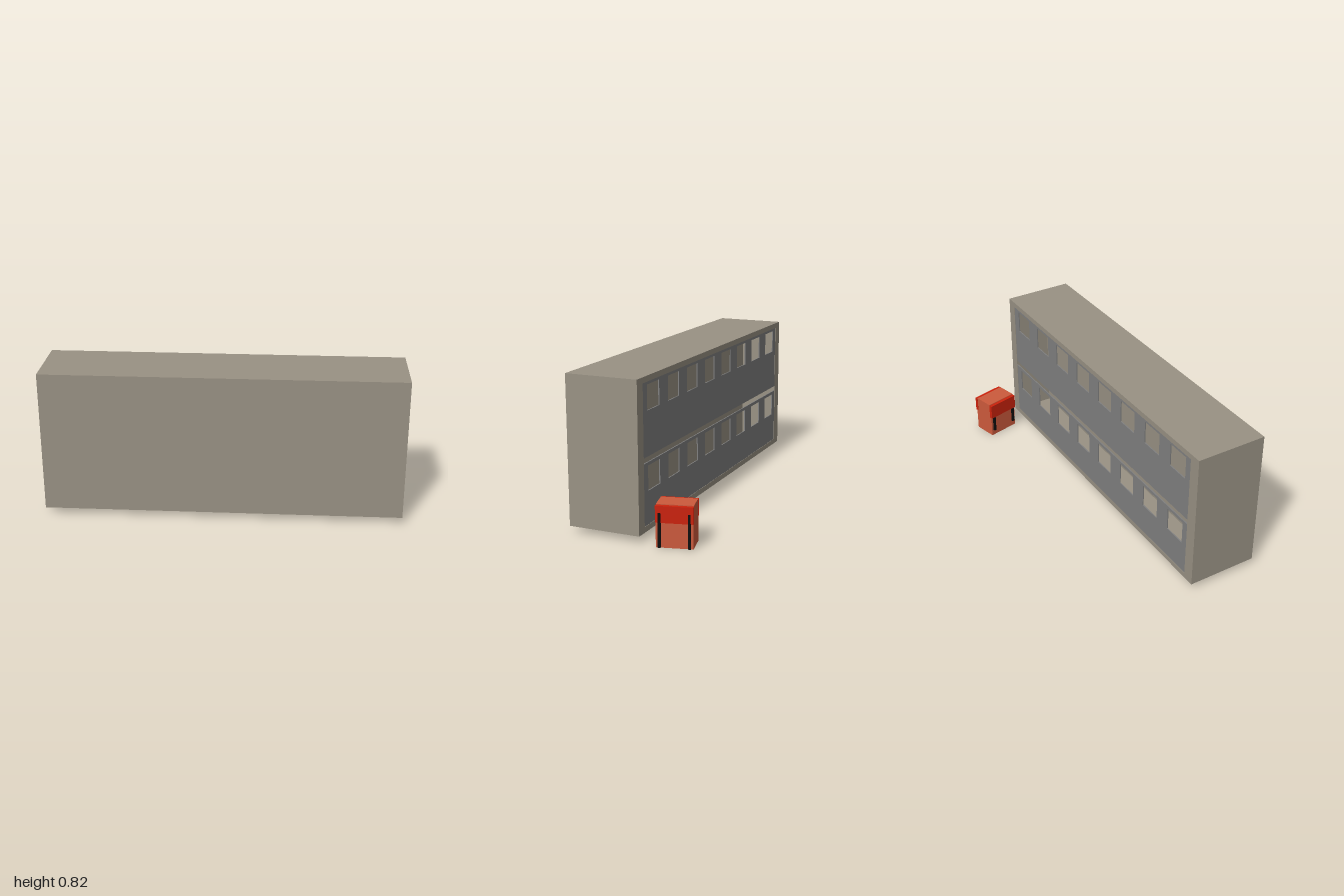
import * as THREE from 'three';

const mat = (color, side = THREE.FrontSide) => new THREE.MeshStandardMaterial({ color, side });

function rectPath(Type, x0, y0, x1, y1) {
  const p = new Type();
  p.moveTo(x0, y0);
  p.lineTo(x1, y0);
  p.lineTo(x1, y1);
  p.lineTo(x0, y1);
  p.closePath();
  return p;
}

function add(group, name, geometry, material) {
  const mesh = new THREE.Mesh(geometry, material);
  mesh.name = name;
  group.add(mesh);
  return mesh;
}

// Box given by its lower and upper corners
function block(group, name, a, b, material) {
  const geo = new THREE.BoxGeometry(b[0] - a[0], b[1] - a[1], b[2] - a[2]);
  add(group, name, geo, material).position.set((a[0] + b[0]) / 2, (a[1] + b[1]) / 2, (a[2] + b[2]) / 2);
}

function extrude(shape, z0, depth) {
  return new THREE.ExtrudeGeometry(shape, { depth, bevelEnabled: false }).translate(0, 0, z0);
}

// Long block, hollow behind its window wall at the back
function createBuilding() {
  const g = new THREE.Group();
  g.name = 'building';
  const stone = mat(0x999284);
  const wall = mat(0x808080, THREE.DoubleSide);

  block(g, 'frontBlock', [-1, 0.035, 0.165], [0.975, 0.825, 0.34], stone);

  const ring = rectPath(THREE.Shape, -1, 0.035, 0.975, 0.825);
  ring.holes.push(rectPath(THREE.Path, -0.934, 0.065, 0.914, 0.795));
  add(g, 'outerFrame', extrude(ring, -0.055, 0.22), stone);

  // Two window walls with a narrow gap between the storeys
  const storeys = [
    { name: 'lowerWindowWall', y0: 0.065, y1: 0.388, sill: 0.24 },
    { name: 'upperWindowWall', y0: 0.417, y1: 0.795, sill: 0.65 },
  ];
  for (const s of storeys) {
    const panel = rectPath(THREE.Shape, -0.934, s.y0, 0.914, s.y1);
    for (let i = 0; i < 8; i++) {
      const x = -0.826 + i * 0.232;
      panel.holes.push(rectPath(THREE.Path, x - 0.067, s.sill, x + 0.067, s.sill + 0.13));
    }
    add(g, s.name, extrude(panel, -0.053, 0.006), wall);
  }
  return g;
}

// Small container with side flaps and dark straps
function createContainer() {
  const g = new THREE.Group();
  g.name = 'container';
  const orange = mat(0xcc5a3c);
  const red = mat(0xcc220c);
  const black = mat(0x0c0c0c);

  block(g, 'containerBody', [-0.068, 0, -0.094], [0.068, 0.13, 0.094], orange);
  block(g, 'containerTop', [-0.057, 0.13, -0.094], [0.057, 0.22, 0.094], orange);
  for (const s of [-1, 1]) {
    const span = (a, b) => (s > 0 ? [a, b] : [-b, -a]);
    const [f0, f1] = span(0.057, 0.077);
    block(g, 'sideFlap', [f0, 0.13, -0.095], [f1, 0.216, 0.095], red);
    const [t0, t1] = span(0.066, 0.079);
    const [y0, y1] = s > 0 ? [0.002, 0.18] : [0.035, 0.13];
    for (const z of [-0.075, 0.075]) {
      block(g, 'strap', [t0, y0, z - 0.007], [t1, y1, z + 0.007], black);
    }
  }
  g.position.set(0.901, 0, -0.228);
  g.rotation.y = 0.24;
  return g;
}

export function createModel() {
  const model = new THREE.Group();
  model.name = 'buildingWithContainer';
  model.add(createBuilding(), createContainer());
  return model;
}
